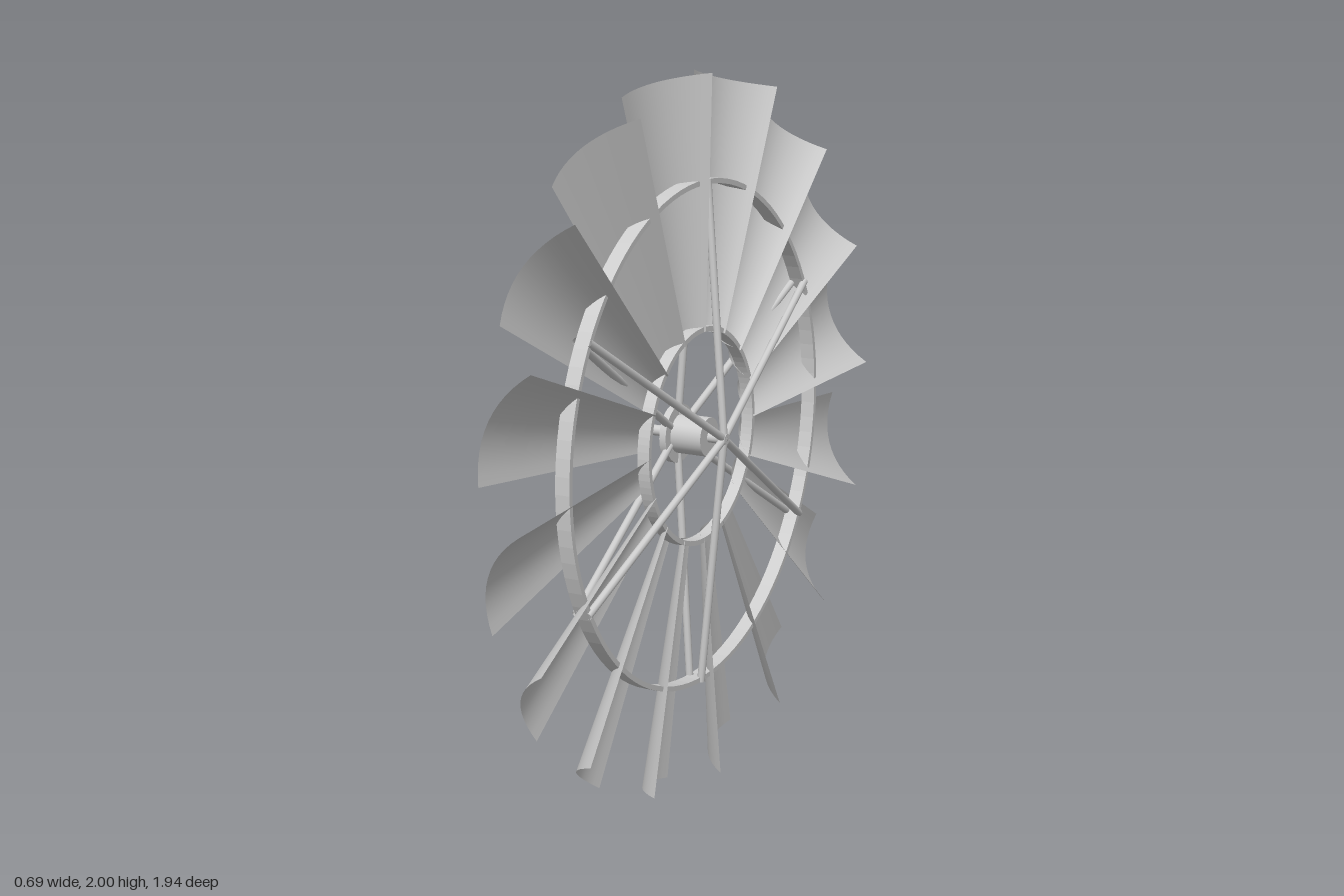
import * as THREE from 'three';

const BLADES = 16, SPOKES = 6;
const PHASE = THREE.MathUtils.degToRad(-1.5);
const PITCH = THREE.MathUtils.degToRad(22);

const metal = new THREE.MeshStandardMaterial({ color: 0xcccccc });
const sheet = new THREE.MeshStandardMaterial({ color: 0xcccccc, side: THREE.DoubleSide });

function add(parent, name, geometry, material = metal) {
  const mesh = new THREE.Mesh(geometry, material);
  mesh.name = name;
  parent.add(mesh);
  return mesh;
}

// Tapered sheet pointing along +y, pitched about its length and cupped towards +z
function bladeGeometry() {
  const geo = new THREE.PlaneGeometry(1, 1, 12, 4);
  const pos = geo.attributes.position;
  for (let i = 0; i < pos.count; i++) {
    const s = pos.getX(i), t = pos.getY(i) + 0.5;
    const width = THREE.MathUtils.lerp(0.115, 0.305, t);
    const across = s * width;
    const cup = -0.17 * width * (1 - 4 * s * s);
    pos.setXYZ(i,
      across * Math.cos(PITCH) - cup * Math.sin(PITCH),
      THREE.MathUtils.lerp(0.29, 0.99, t),
      across * Math.sin(PITCH) + cup * Math.cos(PITCH));
  }
  geo.computeVertexNormals();
  return geo;
}

// Flat hoop around the z axis
function hoopGeometry(radius, thickness, width) {
  const shape = new THREE.Shape().absarc(0, 0, radius + thickness / 2, 0, Math.PI * 2);
  shape.holes.push(new THREE.Path().absarc(0, 0, radius - thickness / 2, 0, Math.PI * 2, true));
  return new THREE.ExtrudeGeometry(shape, { depth: width, bevelEnabled: false, curveSegments: 48 })
    .translate(0, 0, -width / 2);
}

// Cylinder along z from z0 to z1
function axial(radius, z0, z1) {
  return new THREE.CylinderGeometry(radius, radius, z1 - z0, 28)
    .rotateX(Math.PI / 2).translate(0, 0, (z0 + z1) / 2);
}

// Straight round rod between two points
function rod(a, b, radius) {
  return new THREE.TubeGeometry(new THREE.LineCurve3(a, b), 1, radius, 10);
}

export function createModel() {
  const model = new THREE.Group();
  model.name = 'windWheel';
  const wheel = new THREE.Group();
  wheel.name = 'wheel';
  wheel.position.y = 1;
  wheel.rotation.y = THREE.MathUtils.degToRad(106.8);
  model.add(wheel);

  // Blades
  const blade = bladeGeometry();
  for (let i = 0; i < BLADES; i++) {
    add(wheel, 'blade', blade, sheet).rotation.z = PHASE + (i + 0.5) * Math.PI * 2 / BLADES;
  }

  // Hoops that carry the blades
  add(wheel, 'outerRing', hoopGeometry(0.705, 0.014, 0.042));
  add(wheel, 'innerRing', hoopGeometry(0.3, 0.014, 0.035));

  // Hub and shaft
  add(wheel, 'hub', axial(0.055, -0.06, 0.035));
  add(wheel, 'hubFlange', axial(0.083, -0.078, -0.058));
  add(wheel, 'shaft', axial(0.015, -0.16, 0.09));

  // Paired spokes, bracing the outer ring from both ends of the hub
  for (const [apex, end] of [[0.08, 0.018], [-0.068, -0.018]]) {
    const spoke = rod(new THREE.Vector3(0, 0, apex), new THREE.Vector3(0, 0.712, end), 0.011);
    for (let i = 0; i < SPOKES; i++) {
      add(wheel, apex > 0 ? 'frontSpoke' : 'rearSpoke', spoke, sheet)
        .rotation.z = PHASE + i * Math.PI * 2 / SPOKES;
    }
  }
  return model;
}
